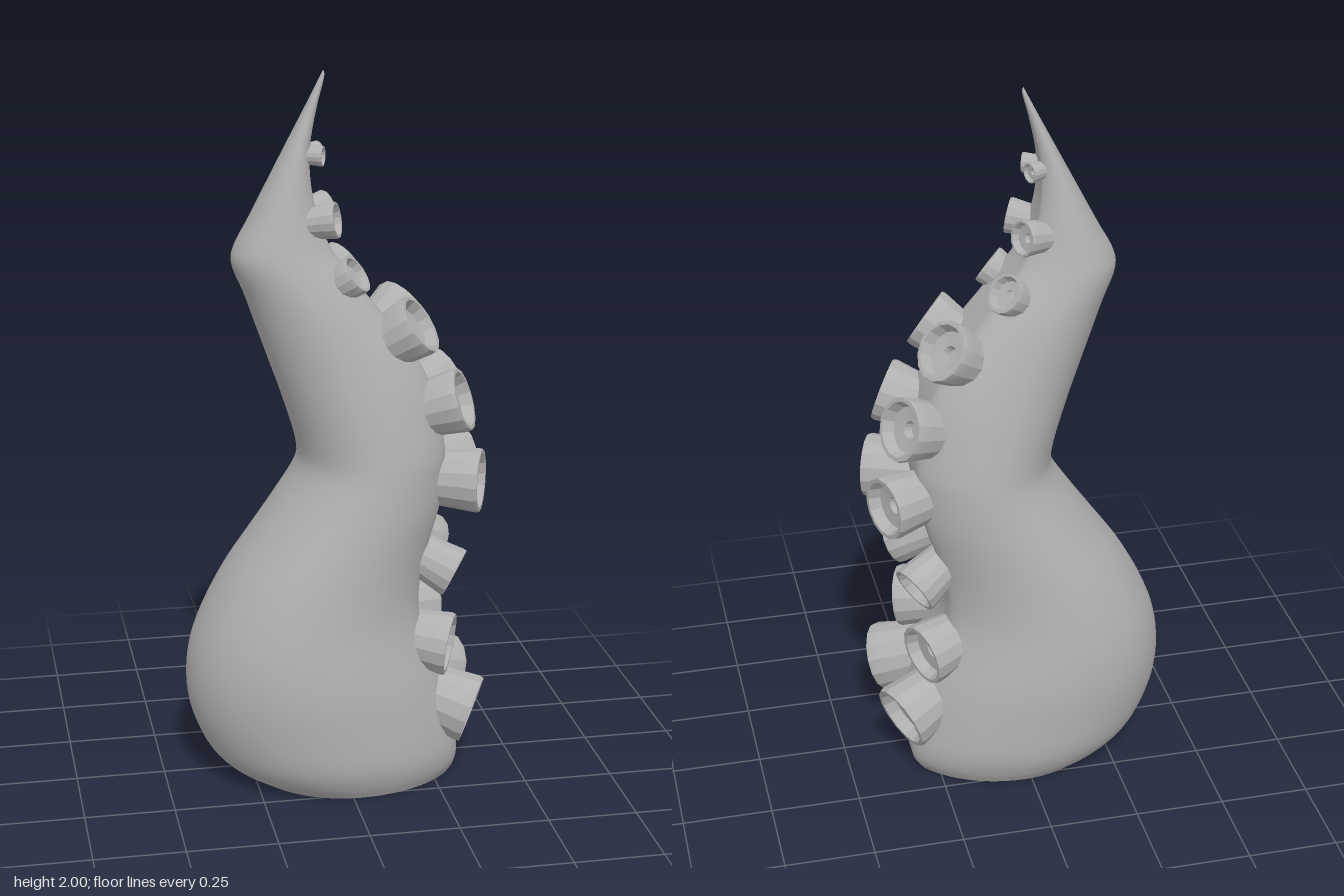
import * as THREE from 'three';
import { toCreasedNormals } from 'three/addons/utils/BufferGeometryUtils.js';

const SIDES = 64;
const RINGS = 90;

// Body sections: height, back edge x, sucker edge x, half width in z
const SECTIONS = [
  [0, -0.26, 0.30, 0.27], [0.04, -0.33, 0.32, 0.295], [0.1, -0.38, 0.32, 0.315],
  [0.2, -0.42, 0.30, 0.32], [0.3, -0.43, 0.27, 0.32], [0.4, -0.415, 0.235, 0.31],
  [0.5, -0.375, 0.21, 0.295], [0.6, -0.32, 0.215, 0.28], [0.7, -0.25, 0.24, 0.265],
  [0.8, -0.18, 0.27, 0.25], [0.9, -0.117, 0.283, 0.235], [0.97, -0.112, 0.285, 0.225],
  [1.1, -0.15, 0.26, 0.205], [1.2, -0.185, 0.22, 0.187], [1.3, -0.22, 0.15, 0.17],
  [1.4, -0.255, 0.07, 0.153], [1.48, -0.287, 0.01, 0.135], [1.53, -0.28, -0.025, 0.122],
  [1.6, -0.242, -0.055, 0.103], [1.7, -0.19, -0.075, 0.077], [1.8, -0.138, -0.075, 0.05],
  [1.9, -0.086, -0.055, 0.025], [1.98, -0.045, -0.033, 0.008], [2, -0.035, -0.035, 0],
];

// Suckers: rim centre x, y, z, rim radius, pitch in degrees
const SUCKERS = [
  [0.36, 0.195, 0.165, 0.1, -20], [0.295, 0.4, 0.165, 0.09, -8],
  [0.31, 0.605, 0.145, 0.073, -28], [0.385, 0.868, 0.13, 0.09, 0],
  [0.335, 1.105, 0.125, 0.09, 20], [0.215, 1.32, 0.11, 0.087, 36],
  [0.04, 1.465, 0.1, 0.057, 38], [-0.012, 1.61, 0.083, 0.05, 10],
  [-0.042, 1.775, 0.04, 0.028, 0],
];

// Rounded loops lofted along the bend, flattened on the sucker side, open below
function bodyGeometry() {
  const edges = new THREE.CatmullRomCurve3(
    SECTIONS.map(([, l, r, w]) => new THREE.Vector3(l, r, w)), false, 'catmullrom', 0.5);
  const heights = new THREE.CatmullRomCurve3(
    SECTIONS.map(([y]) => new THREE.Vector3(0, y, 0)), false, 'catmullrom', 0.5);
  const positions = [];
  const index = [];
  for (let i = 0; i <= RINGS; i++) {
    const e = edges.getPoint(i / RINGS);
    const y = heights.getPoint(i / RINGS).y;
    const mid = (e.x + e.y) / 2;
    const half = (e.y - e.x) / 2;
    for (let j = 0; j < SIDES; j++) {
      const a = (j / SIDES) * Math.PI * 2;
      const c = Math.cos(a);
      const across = c > 0 ? Math.min(c, 0.86) / 0.86 : c;
      positions.push(mid + half * across, y, Math.max(e.z, 0) * Math.sin(a));
      if (i < RINGS) {
        const p = i * SIDES + j;
        const q = i * SIDES + (j + 1) % SIDES;
        index.push(p, p + SIDES, q, q, p + SIDES, q + SIDES);
      }
    }
  }
  const geometry = new THREE.BufferGeometry();
  geometry.setAttribute('position', new THREE.Float32BufferAttribute(positions, 3));
  geometry.setIndex(index);
  geometry.computeVertexNormals();
  return geometry;
}

// Unit sucker: tapered stalk, thick rim, recessed floor with a small pit
function suckerGeometry() {
  const profile = [
    [0.8, -2.5], [0.84, -1.5], [0.93, -0.7], [1, -0.12], [0.97, 0], [0.85, 0],
    [0.72, -0.35], [0.27, -0.4], [0.22, -0.65], [0, -0.65],
  ].map(([r, y]) => new THREE.Vector2(r, y));
  return toCreasedNormals(new THREE.LatheGeometry(profile, 14), 0.4);
}

export function createModel() {
  const skin = new THREE.MeshStandardMaterial({ color: 0xb0b0b0, side: THREE.DoubleSide });
  skin.name = 'grey skin';

  const model = new THREE.Group();
  model.name = 'tentacle';

  const body = new THREE.Mesh(bodyGeometry(), skin);
  body.name = 'body';
  model.add(body);

  // Mirrored rows of suckers, splayed outward
  const cup = suckerGeometry();
  const up = new THREE.Vector3(0, 1, 0);
  for (const side of [1, -1]) {
    const row = new THREE.Group();
    row.name = side > 0 ? 'frontSuckerRow' : 'backSuckerRow';
    SUCKERS.forEach(([x, y, z, r, pitch], i) => {
      const a = THREE.MathUtils.degToRad(pitch);
      const axis = new THREE.Vector3(Math.cos(a), Math.sin(a), side * 0.42).normalize();
      const sucker = new THREE.Mesh(cup, skin);
      sucker.name = `sucker${i + 1}`;
      sucker.position.set(x, y, side * z);
      sucker.quaternion.setFromUnitVectors(up, axis);
      sucker.scale.setScalar(r);
      row.add(sucker);
    });
    model.add(row);
  }
  return model;
}
